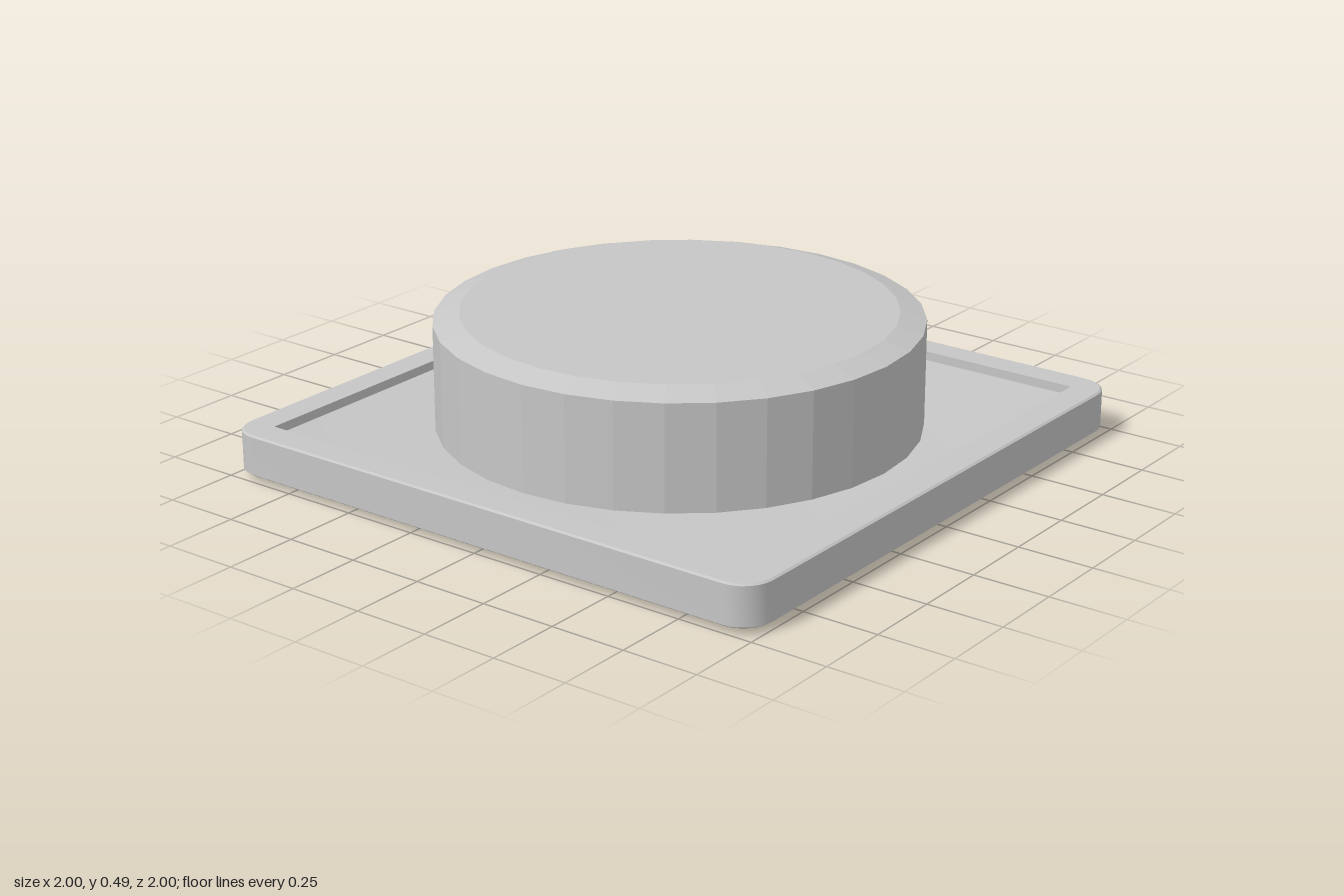
import * as THREE from 'three';
import { toCreasedNormals } from 'three/addons/utils/BufferGeometryUtils.js';

// Closed loop of points for a rounded square lying flat at height y
function squareLoop([half, radius, y], steps = 6) {
  const loop = [];
  for (let corner = 0; corner < 4; corner++) {
    const mid = (corner + 0.5) * Math.PI / 2;
    const c = half - radius;
    for (let i = 0; i <= steps; i++) {
      const a = (corner + i / steps) * Math.PI / 2;
      loop.push(new THREE.Vector3(
        Math.sign(Math.cos(mid)) * c + Math.cos(a) * radius, y,
        Math.sign(Math.sin(mid)) * c + Math.sin(a) * radius));
    }
  }
  return loop;
}

// Skin a stack of loops, leaving out collapsed triangles
function skin(sections) {
  const loops = sections.map((s) => squareLoop(s));
  const points = [];
  const tri = (a, b, c) => {
    const area = b.clone().sub(a).cross(c.clone().sub(a)).length();
    if (area > 1e-7) points.push(a, b, c);
  };
  for (let k = 0; k + 1 < loops.length; k++) {
    const p = loops[k], q = loops[k + 1];
    for (let i = 0; i < p.length; i++) {
      const j = (i + 1) % p.length;
      tri(p[i], q[i], q[j]);
      tri(p[i], q[j], p[j]);
    }
  }
  return toCreasedNormals(new THREE.BufferGeometry().setFromPoints(points), 0.5);
}

export function createModel() {
  const group = new THREE.Group();
  const grey = new THREE.MeshStandardMaterial({ color: 0xc6c6c6 });
  grey.name = 'light grey';

  // Square plate with rounded corners and a shallow tray: [half size, corner radius, height]
  const plate = new THREE.Mesh(skin([
    [0, 0, 0.02],
    [0.993, 0.093, 0.02],
    [1, 0.1, 0.025],
    [1, 0.1, 0.15],
    [0.993, 0.093, 0.155],
    [0.9, 0, 0.155],
    [0.9, 0, 0.125],
    [0.82, 0, 0.115],
    [0, 0, 0.115],
  ]), grey);
  plate.name = 'trayPlate';
  group.add(plate);

  // Faceted drum through the plate, bevelled at both ends
  const profile = [[0, 0], [0.69, 0], [0.773, 0.027], [0.773, 0.46], [0.69, 0.487], [0, 0.487]]
    .map(([r, y]) => new THREE.Vector2(r, y));
  const drumGeometry = toCreasedNormals(new THREE.LatheGeometry(profile, 32), 0.01);
  const drum = new THREE.Mesh(drumGeometry, grey);
  drum.name = 'drum';
  group.add(drum);

  return group;
}
